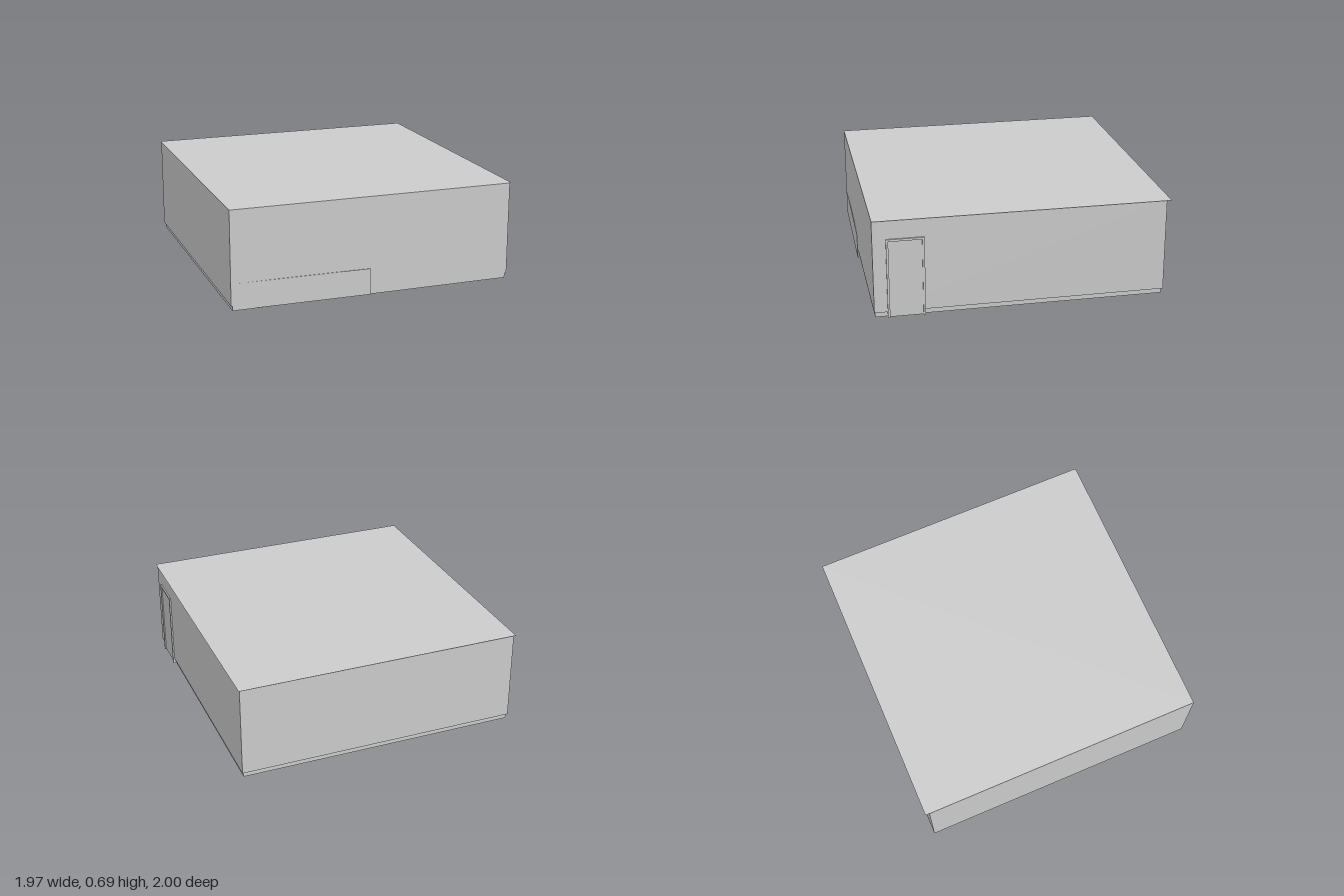
import * as THREE from 'three';

export function createModel() {
  const room = new THREE.Group();
  room.name = 'room';
  const grey = new THREE.MeshStandardMaterial({ color: 0xcccccc, flatShading: true, side: THREE.DoubleSide });

  const add = (name, geometry) => {
    const mesh = new THREE.Mesh(geometry, grey);
    mesh.name = name;
    room.add(mesh);
    return mesh;
  };
  // Box given by its lower and upper corners
  const block = (name, [x0, y0, z0], [x1, y1, z1]) => {
    const mesh = add(name, new THREE.BoxGeometry(x1 - x0, y1 - y0, z1 - z0));
    mesh.position.set((x0 + x1) / 2, (y0 + y1) / 2, (z0 + z1) / 2);
    return mesh;
  };

  // Thin ceiling sheet, overhanging the left and back walls
  const ceiling = add('ceiling', new THREE.PlaneGeometry(1.965, 1.985).rotateX(-Math.PI / 2));
  ceiling.position.set(0.0025, 0.69, -0.0075);

  // Walls stop just above the floor
  const t = 0.02;
  block('frontWall', [-0.98, 0.05, 0.988 - t], [0.972, 0.689, 0.988]);
  block('backWall', [-0.98, 0.05, -0.972], [0.972, 0.689, -0.972 + t]);
  block('rightWall', [-0.98, 0.05, -0.972 + t], [-0.98 + t, 0.689, 0.988 - t]);
  block('leftWall', [0.972 - t, 0.05, -0.972 + t], [0.972, 0.689, 0.988 - t]);

  // Floor and the slightly inset skirting around it
  block('floor', [-0.97, 0.016, -0.962], [0.962, 0.022, 0.982]);
  block('frontSkirting', [-0.97, 0.022, 0.966], [0.962, 0.05, 0.982]);
  block('backSkirting', [-0.97, 0.022, -0.962], [0.962, 0.05, -0.946]);
  block('rightSkirting', [-0.97, 0.022, -0.946], [-0.954, 0.05, 0.966]);
  block('leftSkirtingBack', [0.946, 0.022, -0.946], [0.962, 0.05, 0.65]);
  block('leftSkirtingFront', [0.946, 0.022, 0.9], [0.962, 0.05, 0.966]);

  // Door with a raised frame near the front of the left wall
  block('door', [0.95, 0.015, 0.665], [0.974, 0.545, 0.885]);
  block('doorFrameTop', [0.95, 0.545, 0.65], [0.982, 0.56, 0.9]);
  for (const z of [0.65, 0.885]) {
    block('doorFrameSide', [0.95, 0.012, z], [0.982, 0.545, z + 0.015]);
  }

  // Low panel along the front wall, its inner end standing slightly proud
  const panel = block('frontPanel', [-0.97, 0.02, 0.984], [-0.03, 0.2, 0.988]);
  panel.rotation.y = -0.012;
  panel.position.z = 0.9915;

  // Crescent slab showing below the floor: a quarter arc closed by a bent inner edge
  const crescent = new THREE.Shape();
  crescent.absarc(-0.51, 0.53, 1.02, 0, -Math.PI / 2 + 0.1, true);
  crescent.lineTo(-0.52, -0.43);
  crescent.lineTo(0.25, 0.21);
  crescent.closePath();
  const slab = new THREE.ExtrudeGeometry(crescent, { depth: 0.018, bevelEnabled: false, curveSegments: 32 });
  slab.rotateX(Math.PI / 2);
  add('crescentSlab', slab).position.y = 0.018;

  return room;
}
